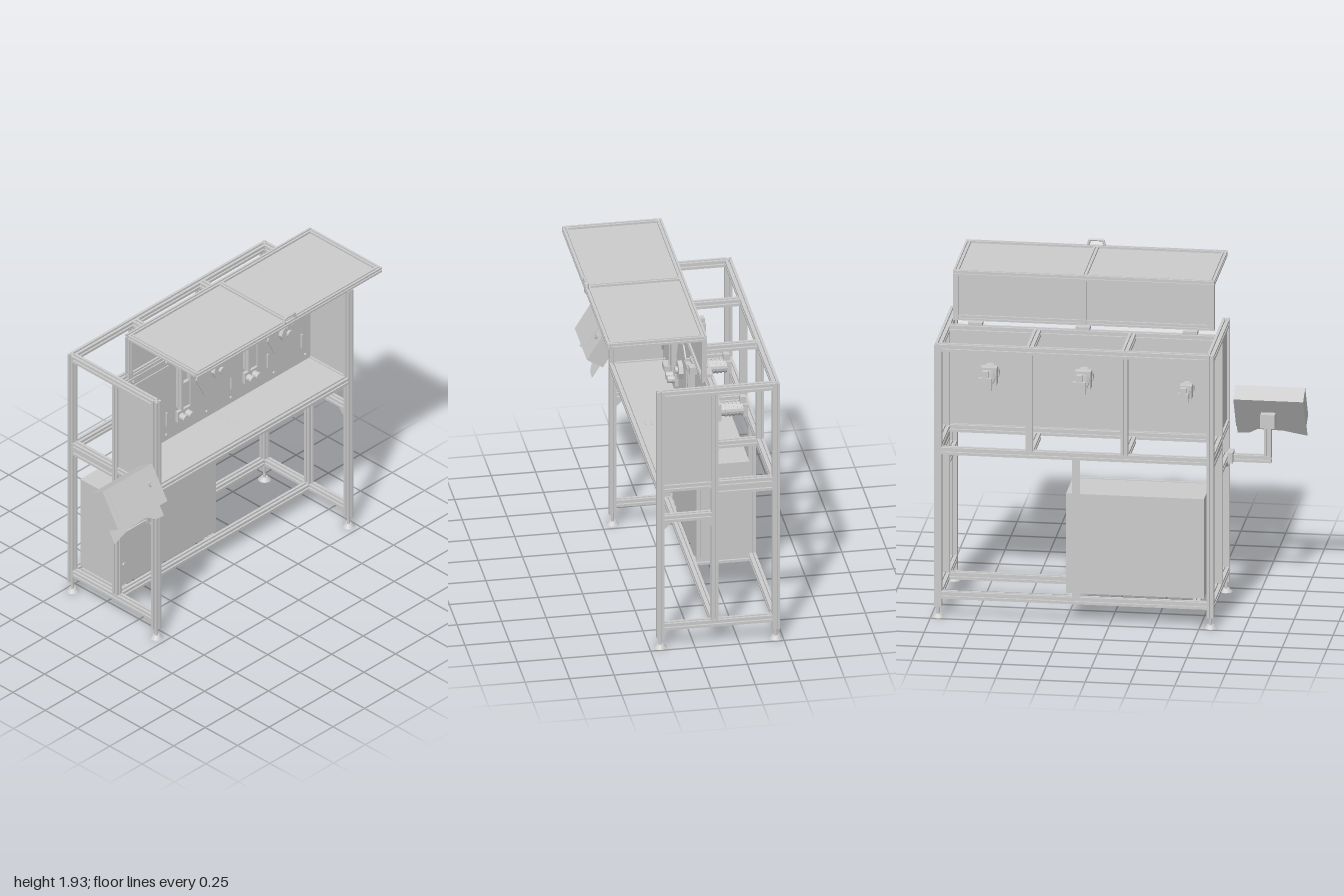
import * as THREE from 'three';

const mat = new THREE.MeshStandardMaterial({ color: 0xcccccc, flatShading: true, side: THREE.DoubleSide });
const W = 0.04; // aluminium profile width

// Square profile with a slot in each of its four sides
function slotProfile(w) {
  const h = w / 2, s = w * 0.12, d = w * 0.3;
  const side = [[-h, -h], [-s, -h], [-s, -h + d], [s, -h + d], [s, -h]];
  const pts = [];
  for (let i = 0; i < 4; i++) {
    const c = Math.round(Math.cos(i * Math.PI / 2)), n = Math.round(Math.sin(i * Math.PI / 2));
    for (const [x, y] of side) pts.push(new THREE.Vector2(x * c - y * n, x * n + y * c));
  }
  return new THREE.Shape(pts);
}

export function createModel() {
  const root = new THREE.Group();
  const group = (name, parent = root) => {
    const g = new THREE.Group();
    g.name = name;
    parent.add(g);
    return g;
  };
  const add = (parent, name, geo, x = 0, y = 0, z = 0) => {
    const m = new THREE.Mesh(geo, mat);
    m.name = name;
    m.position.set(x, y, z);
    parent.add(m);
    return m;
  };
  // Box given by its limits on each axis
  const block = (p, name, x0, x1, y0, y1, z0, z1) =>
    add(p, name, new THREE.BoxGeometry(x1 - x0, y1 - y0, z1 - z0), (x0 + x1) / 2, (y0 + y1) / 2, (z0 + z1) / 2);
  // Slotted bar along one axis, starting at (x, y, z)
  const bar = (p, name, axis, x, y, z, len, w = W) => {
    const geo = new THREE.ExtrudeGeometry(slotProfile(w), { depth: len, bevelEnabled: false });
    if (axis === 'x') geo.rotateY(Math.PI / 2);
    if (axis === 'y') geo.rotateX(-Math.PI / 2);
    return add(p, name, geo, x, y, z);
  };
  // Cylinder along z from z0 to z1
  const disc = (p, name, r, x, y, z0, z1, sides = 16) =>
    add(p, name, new THREE.CylinderGeometry(r, r, z1 - z0, sides).rotateX(Math.PI / 2), x, y, (z0 + z1) / 2);

  const XL = -0.56, XR = 0.96, ZF = 0.19, ZM = -0.115, ZB = -0.46;

  // Frame: posts, feet and side rails at both ends
  const frame = group('frame');
  for (const x of [XL, XR]) {
    for (const z of [ZF, ZB]) {
      bar(frame, 'cornerPost', 'y', x, 0.06, z, 1.53);
      add(frame, 'footStud', new THREE.CylinderGeometry(0.009, 0.009, 0.05, 10), x, 0.04, z);
      add(frame, 'footPad', new THREE.CylinderGeometry(0.018, 0.036, 0.02, 16), x, 0.01, z);
    }
    bar(frame, 'middlePost', 'y', x, 0.15, ZM, 1.4);
    bar(frame, 'topSideRail', 'z', x, 1.57, ZB + 0.02, ZF - ZB - 0.04);
    bar(frame, 'bottomSideRail', 'z', x, 0.13, ZB + 0.02, ZF - ZB - 0.04);
    bar(frame, 'frontSideRail', 'z', x, 0.8, ZM + 0.02, ZF - ZM - 0.04);
    bar(frame, 'floorSideRail', 'z', x, 0.99, ZM + 0.02, ZF - ZM - 0.04);
    for (const y of [0.95, 0.99]) bar(frame, 'rearSideRail', 'z', x, y, ZB + 0.02, ZM - ZB - 0.04);
    // triangular gussets below the front side rail
    for (const [z, s] of [[ZF - 0.02, -1], [ZM + 0.02, 1]]) {
      const tri = new THREE.Shape([[0, 0], [s * 0.045, 0], [0, -0.045]].map(a => new THREE.Vector2(...a)));
      const geo = new THREE.ExtrudeGeometry(tri, { depth: 0.03, bevelEnabled: false }).rotateY(-Math.PI / 2);
      add(frame, 'gusset', geo, x + 0.015, 0.78, z);
    }
    block(frame, 'endPanel', x - 0.008, x + 0.008, 1.01, 1.55, ZM + 0.02, ZF - 0.02);
  }
  // Long rails
  const X0 = XL + 0.02, L = XR - XL - W;
  for (const [y, z] of [[1.57, ZB], [1.57, ZM], [0.99, ZF], [0.99, ZM], [0.97, ZB], [0.13, ZM], [0.13, ZB]])
    bar(frame, 'longRail', 'x', X0, y, z, L);
  // Rear uprights with cross rails
  for (const x of [-0.08, 0.45]) {
    bar(frame, 'rearUpright', 'y', x, 0.99, ZB, 0.56);
    bar(frame, 'topCrossRail', 'z', x, 1.57, ZB + 0.02, ZM - ZB - W);
    bar(frame, 'lowerCrossRail', 'z', x, 0.97, ZB + 0.02, ZM - ZB - W);
  }
  bar(frame, 'lowerRearPost', 'y', 0.19, 0.15, ZB, 0.8);
  bar(frame, 'floorCrossRail', 'z', 0.2, 0.985, ZM + 0.02, ZF - ZM - W);
  for (const x of [-0.48, 0.21]) bar(frame, 'cabinetRail', 'z', x, 0.13, ZB + 0.02, ZM - ZB - W);
  block(frame, 'workFloor', X0, XR - 0.02, 0.995, 1.004, ZM, ZF - 0.02);

  // Electrical cabinet with door, hinges and lock
  const cab = group('cabinet');
  block(cab, 'cabinetBody', -0.52, 0.25, 0.16, 0.74, -0.437, -0.162);
  block(cab, 'cabinetDoor', -0.525, 0.25, 0.155, 0.742, -0.158, -0.14);
  for (const y of [0.29, 0.6]) disc(cab, 'doorLock', 0.013, -0.48, y, -0.14, -0.132, 10);

  // Vertical machine plate with its mechanisms
  const plate = group('machinePlate');
  block(plate, 'backPlate', -0.53, 0.94, 1.01, 1.555, -0.1, -0.088);
  const F = -0.088;
  for (const [x, y, r] of [[0.19, 1.315, 0.17], [0.725, 1.3, 0.14]]) {
    const reel = disc(plate, 'reelDisc', r, x, y, F + 0.012, F + 0.02, 7);
    reel.rotation.z = 0.25;
    disc(plate, 'reelHub', 0.055, x, y, F, F + 0.045, 8);
    disc(plate, 'reelShaft', 0.02, x, y, F, F + 0.06, 10);
  }
  // Two slide units
  for (const x of [-0.075, 0.455]) {
    const unit = group('slideUnit', plate);
    block(unit, 'slideBase', x - 0.045, x + 0.045, 1.2, 1.51, F, F + 0.015);
    for (const s of [-1, 1]) block(unit, 'slideRail', x + s * 0.035 - 0.007, x + s * 0.035 + 0.007, 1.19, 1.5, F, F + 0.04);
    block(unit, 'slideCarriage', x - 0.025, x + 0.025, 1.2, 1.36, F, F + 0.035);
    block(unit, 'slideTop', x - 0.05, x + 0.06, 1.46, 1.485, F, F + 0.045);
    block(unit, 'sensorBox', x + 0.055, x + 0.1, 1.465, 1.51, F, F + 0.04);
    block(unit, 'rollerBlock', x - 0.05, x + 0.05, 1.1, 1.17, F, F + 0.02);
    for (const s of [-1, 1]) disc(unit, 'nipRoller', 0.021, x + s * 0.024, 1.135, F, F + 0.06, 12);
  }
  // Dancer roller with swing arm
  disc(plate, 'dancerRoller', 0.045, -0.385, 1.275, F, F + 0.05);
  add(plate, 'dancerRim', new THREE.TorusGeometry(0.042, 0.01, 6, 16), -0.385, 1.275, F + 0.045);
  const arm = add(plate, 'dancerArm', new THREE.BoxGeometry(0.018, 0.2, 0.012), -0.43, 1.2, F + 0.012);
  arm.rotation.z = -0.45;
  block(plate, 'guideBracket', -0.36, -0.28, 1.06, 1.095, F, F + 0.035);
  block(plate, 'dancerStop', -0.41, -0.36, 1.37, 1.385, F, F + 0.03);
  block(plate, 'coverPlate', -0.475, -0.18, 1.41, 1.51, F, F + 0.006);
  for (const x of [-0.2, 0.31, 0.6, 0.87]) block(plate, 'guideStrip', x - 0.004, x + 0.004, 1.11, 1.2, F, F + 0.012);
  for (const x of [-0.46, -0.2, 0.12, 0.31, 0.65, 0.9])
    for (const y of [1.05, 1.535]) disc(plate, 'plateBolt', 0.008, x, y, F, F + 0.01, 8);

  // Drive motors behind the plate
  const motors = group('driveMotors');
  for (const [x, y, s, end] of [[-0.385, 1.275, 0.75, -0.3], [0.19, 1.32, 1, -0.34], [0.715, 1.32, 1, -0.34]]) {
    disc(motors, 'motorFlange', 0.052 * s, x, y, -0.14, -0.1);
    block(motors, 'gearbox', x - 0.045 * s, x + 0.045 * s, y - 0.05 * s, y + 0.05 * s, -0.19, -0.14);
    disc(motors, 'motorBody', 0.038 * s, x, y, end + 0.02, -0.19);
    for (let z = -0.215; z > end + 0.03; z -= 0.022) disc(motors, 'motorFin', 0.042 * s, x, y, z - 0.008, z);
    block(motors, 'motorEnd', x - 0.036 * s, x + 0.036 * s, y - 0.036 * s, y + 0.036 * s, end, end + 0.025);
    block(motors, 'connector', x - 0.018, x + 0.018, y + 0.03 * s, y + 0.075 * s, end + 0.005, end + 0.04);
  }

  // Raised lid: top and back panels held in thin bars
  const lid = group('lid');
  const b = 0.03;
  block(lid, 'lidTopPanel', -0.515, 0.915, 1.872, 1.88, -0.06, 0.46);
  block(lid, 'lidBackPanel', -0.515, 0.915, 1.62, 1.87, -0.069, -0.062);
  for (const x of [-0.515, 0.2, 0.915]) {
    bar(lid, 'lidTopBar', 'z', x, 1.877, -0.05, 0.515, b);
    bar(lid, 'lidBackBar', 'y', x, 1.605, -0.065, 0.257, b);
  }
  for (const [y, z] of [[1.877, 0.465], [1.877, -0.065], [1.62, -0.065]])
    bar(lid, 'lidLongBar', 'x', -0.53, y, z, 1.46, b);
  for (const x of [-0.4, 0.2, 0.8]) block(lid, 'lidHinge', x - 0.04, x + 0.04, 1.588, 1.608, -0.125, -0.06);
  const grip = new THREE.CurvePath();
  const gp = [[0.155, 1.885], [0.165, 1.922], [0.24, 1.922], [0.25, 1.885]].map(([x, y]) => new THREE.Vector3(x, y, 0.475));
  for (let i = 0; i < 3; i++) grip.add(new THREE.LineCurve3(gp[i], gp[i + 1]));
  add(lid, 'lidHandle', new THREE.TubeGeometry(grip, 24, 0.008, 8));
  block(lid, 'lidCatch', 0.185, 0.215, 1.845, 1.865, 0.455, 0.48);

  // Control box on a bent arm at the right end
  const control = group('controlBox');
  bar(control, 'armHorizontal', 'x', -0.82, 0.8, 0.14, 0.24);
  bar(control, 'armVertical', 'y', -0.8, 0.82, 0.14, 0.17);
  block(control, 'boxMount', -0.84, -0.76, 0.98, 1.06, 0.12, 0.2);
  block(control, 'armBracket', -0.61, -0.58, 0.78, 0.84, 0.09, 0.17);
  const section = new THREE.Shape([[0.205, 1.2], [0.325, 1.005], [0.235, 0.95], [0.115, 1.145]].map(a => new THREE.Vector2(...a)));
  add(control, 'controlHousing',
    new THREE.ExtrudeGeometry(section, { depth: 0.39, bevelEnabled: false }).rotateY(-Math.PI / 2), -0.61);
  const face = group('controlFace', control);
  face.position.set(-0.805, 1.1025, 0.265);
  face.rotation.x = -Math.atan2(0.12, 0.195);
  block(face, 'screen', -0.165, 0.085, -0.09, 0.09, -0.002, 0.003);
  disc(face, 'switchBase', 0.02, 0.135, 0.02, 0, 0.012, 12);
  block(face, 'switchKnob', 0.115, 0.155, 0.013, 0.027, 0.01, 0.025);
  // Thin lip under the housing
  const lip = new THREE.Shape([[-0.195, -0.1], [-0.195, -0.195], [-0.06, -0.16], [0.08, -0.155], [0.13, -0.19], [0.195, -0.195], [0.195, -0.1]]
    .map(a => new THREE.Vector2(...a)));
  add(face, 'lowerLip', new THREE.ExtrudeGeometry(lip, { depth: 0.004, bevelEnabled: false }), 0, 0, -0.085);

  return root;
}
